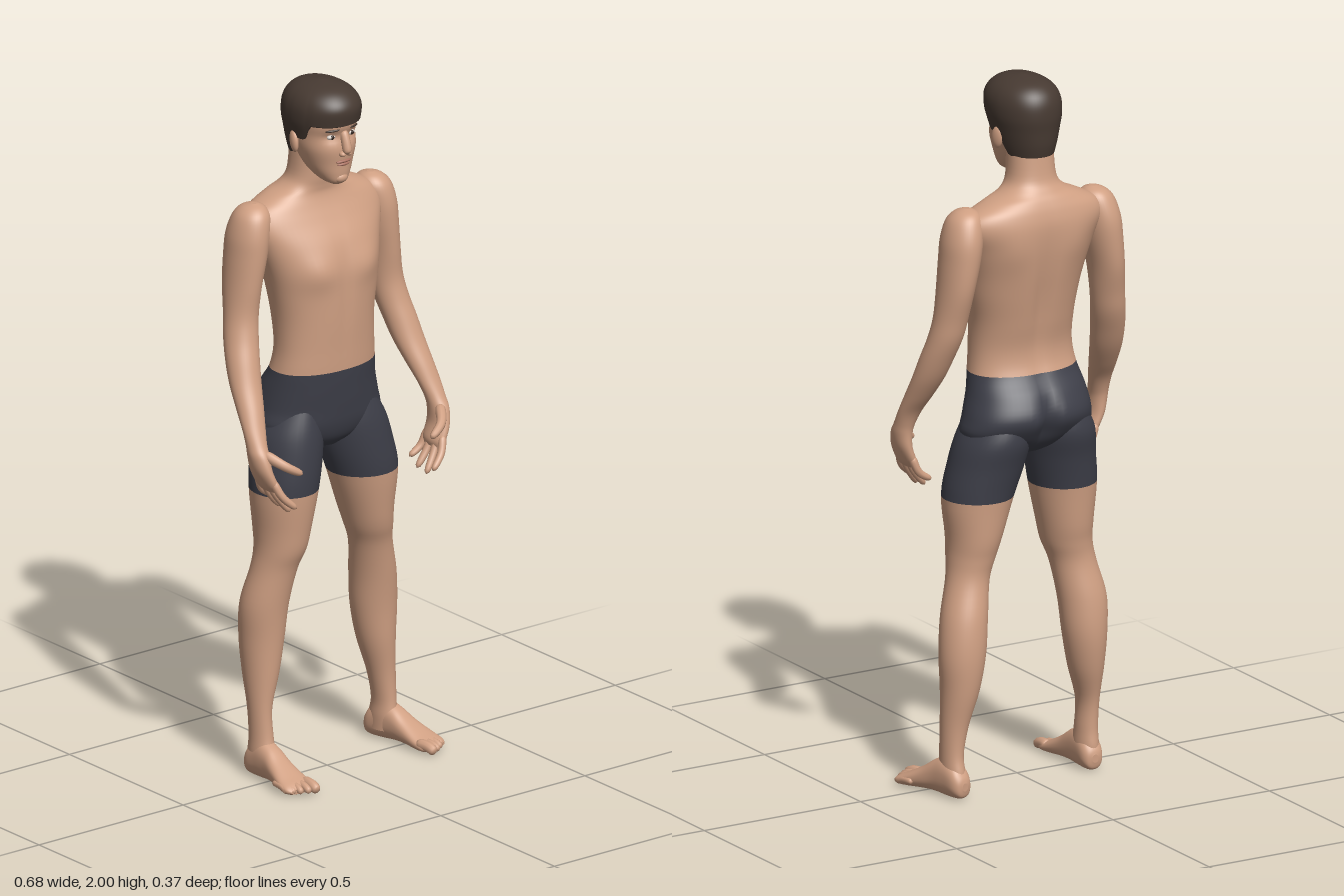
import * as THREE from 'three';
import { mergeVertices } from 'three/addons/utils/BufferGeometryUtils.js';

const mat = (name, color) => Object.assign(new THREE.MeshStandardMaterial({ color }), { name });

// Catmull-Rom value of one column of a profile at row position t
function at(rows, t, k) {
  const n = rows.length - 1, i = Math.min(Math.floor(t), n - 1), f = t - i;
  const p = j => rows[Math.max(0, Math.min(n, j))][k];
  const a = p(i - 1), b = p(i), c = p(i + 1), d = p(i + 2);
  return b + 0.5 * f * (c - a + f * (2 * a - 5 * b + 4 * c - d + f * (3 * (b - c) + d - a)));
}

// Skin over horizontal sections; each row is [y, xMin, xMax, zBack, zFront], bottom to top
function loft(rows, { from = 0, to = rows.length - 1, power = 2, seg = 40, start, warp } = {}) {
  const pos = [], idx = [], n = Math.ceil(to - from) * 5, v = new THREE.Vector3();
  for (let i = 0; i <= n; i++) {
    for (let j = 0; j < seg; j++) {
      const a = j / seg * Math.PI * 2, c = Math.cos(a), s = Math.sin(a);
      const t0 = start ? start(s) : from, t = t0 + (to - t0) * i / n;
      const [y, x0, x1, z0, z1] = [0, 1, 2, 3, 4].map(k => at(rows, t, k));
      v.set((x0 + x1) / 2 + (x1 - x0) / 2 * Math.sign(c) * Math.abs(c) ** (2 / power), y,
        (z0 + z1) / 2 + (z1 - z0) / 2 * Math.sign(s) * Math.abs(s) ** (2 / power));
      if (warp) warp(v);
      pos.push(v.x, v.y, v.z);
      if (i < n) {
        const p = i * seg + j, q = i * seg + (j + 1) % seg;
        idx.push(p, p + seg, q, q, p + seg, q + seg);
      }
    }
  }
  // end caps on their own copies of the end rings
  for (const row of [0, n]) {
    const base = pos.length / 3, mid = new THREE.Vector3();
    for (let j = 0; j < seg; j++) {
      v.fromArray(pos, (row * seg + j) * 3);
      mid.addScaledVector(v, 1 / seg);
      pos.push(v.x, v.y, v.z);
    }
    pos.push(mid.x, mid.y, mid.z);
    for (let j = 0; j < seg; j++) {
      const p = base + j, q = base + (j + 1) % seg;
      idx.push(base + seg, ...(row ? [q, p] : [p, q]));
    }
  }
  const g = new THREE.BufferGeometry();
  g.setAttribute('position', new THREE.Float32BufferAttribute(pos, 3));
  g.setIndex(idx);
  g.computeVertexNormals();
  return g;
}

// Round-ended tube for fingers, toes and the nose
function digit(points, r, taper = 0.75) {
  const curve = new THREE.CatmullRomCurve3(points.map(p => new THREE.Vector3(...p)));
  const n = 16, g = new THREE.TubeGeometry(curve, n, r, 10), p = g.attributes.position, v = new THREE.Vector3();
  for (let i = 0; i < p.count; i++) {
    const t = Math.floor(i / 11) / n, c = curve.getPointAt(t);
    const round = Math.sqrt(Math.max(0, 1 - Math.abs(2 * t - 1) ** 6));
    v.fromBufferAttribute(p, i).sub(c).multiplyScalar(round * (1 + (taper - 1) * t)).add(c);
    p.setXYZ(i, v.x, v.y, v.z);
  }
  g.deleteAttribute('uv');
  g.deleteAttribute('normal');
  const m = mergeVertices(g, 1e-5);
  m.computeVertexNormals();
  return m;
}

const bump = (d, w) => Math.exp(-((d / w) ** 2));
const mirrorRows = rows => rows.map(([y, a, b, c, d]) => [y, -b, -a, c, d]);

const TORSO = [
  [0.94, -0.04, 0.04, -0.08, 0.02], [0.97, -0.14, 0.15, -0.13, 0.045], [1.01, -0.185, 0.2, -0.165, 0.06],
  [1.06, -0.18, 0.193, -0.188, 0.068], [1.12, -0.17, 0.173, -0.165, 0.075], [1.175, -0.159, 0.16, -0.127, 0.08],
  [1.24, -0.15, 0.153, -0.116, 0.083], [1.32, -0.151, 0.154, -0.13, 0.087], [1.4, -0.162, 0.168, -0.145, 0.088],
  [1.47, -0.178, 0.18, -0.157, 0.083], [1.54, -0.2, 0.2, -0.165, 0.064], [1.6, -0.222, 0.222, -0.167, 0.032],
  [1.64, -0.205, 0.205, -0.16, 0.012], [1.67, -0.15, 0.145, -0.148, 0.002], [1.692, -0.102, 0.088, -0.134, 0.003],
  [1.725, -0.08, 0.06, -0.118, 0.008], [1.8, -0.076, 0.054, -0.108, 0.012]];
const ARM = [
  [0.9, 0.272, 0.296, 0.07, 0.14], [0.92, 0.27, 0.312, 0.06, 0.147], [0.96, 0.284, 0.33, 0.057, 0.142],
  [1.0, 0.285, 0.338, 0.056, 0.13], [1.03, 0.281, 0.338, 0.05, 0.112], [1.07, 0.27, 0.337, 0.032, 0.092],
  [1.12, 0.255, 0.333, -0.005, 0.07], [1.18, 0.238, 0.328, -0.045, 0.042], [1.24, 0.225, 0.32, -0.075, 0.02],
  [1.3, 0.212, 0.308, -0.1, 0], [1.36, 0.203, 0.297, -0.115, -0.01], [1.44, 0.192, 0.288, -0.135, -0.005],
  [1.52, 0.175, 0.281, -0.142, 0], [1.58, 0.165, 0.275, -0.14, 0], [1.63, 0.16, 0.26, -0.125, -0.01],
  [1.655, 0.172, 0.238, -0.105, -0.03], [1.665, 0.192, 0.212, -0.075, -0.055]];
const RIGHT_LEG = [
  [0.03, -0.22, -0.16, -0.095, -0.005], [0.07, -0.222, -0.158, -0.095, 0], [0.12, -0.22, -0.16, -0.09, -0.01],
  [0.2, -0.222, -0.16, -0.095, -0.015], [0.3, -0.228, -0.13, -0.122, -0.01], [0.4, -0.234, -0.11, -0.136, -0.005],
  [0.5, -0.237, -0.1, -0.13, 0.005], [0.6, -0.215, -0.085, -0.11, 0.022], [0.66, -0.206, -0.065, -0.112, 0.042],
  [0.72, -0.207, -0.052, -0.122, 0.052], [0.83, -0.217, -0.03, -0.134, 0.066], [0.92, -0.207, -0.016, -0.148, 0.068],
  [1.0, -0.193, -0.01, -0.165, 0.062], [1.08, -0.15, -0.03, -0.15, 0.045]];
const LEFT_LEG = [
  [0.03, 0.225, 0.287, -0.13, -0.035], [0.07, 0.225, 0.287, -0.128, -0.03], [0.12, 0.226, 0.287, -0.118, -0.035],
  [0.2, 0.21, 0.287, -0.122, -0.035], [0.3, 0.18, 0.287, -0.14, -0.025], [0.4, 0.16, 0.291, -0.147, -0.018],
  [0.5, 0.148, 0.279, -0.138, -0.005], [0.6, 0.13, 0.25, -0.114, 0.012], [0.66, 0.108, 0.241, -0.116, 0.032],
  [0.72, 0.087, 0.24, -0.126, 0.045], [0.83, 0.048, 0.249, -0.135, 0.062], [0.92, 0.02, 0.232, -0.15, 0.064],
  [1.0, 0.01, 0.207, -0.166, 0.06], [1.08, 0.03, 0.155, -0.15, 0.045]];
// foot sections run heel to toe: [length, outer, inner, -top, -sole]
const FOOT = [
  [-0.046, -0.01, 0.01, -0.048, -0.025], [-0.04, -0.024, 0.024, -0.065, -0.006], [-0.02, -0.033, 0.033, -0.09, -0.001],
  [0.02, -0.034, 0.034, -0.11, -0.001], [0.06, -0.035, 0.035, -0.098, -0.004], [0.1, -0.041, 0.038, -0.072, -0.004],
  [0.15, -0.05, 0.044, -0.045, -0.001], [0.18, -0.05, 0.045, -0.032, -0.001], [0.195, -0.04, 0.04, -0.022, -0.006]];
const FACE = [
  [1.716, -0.015, 0.015, 0.04, 0.07], [1.727, -0.034, 0.034, 0.0, 0.083], [1.75, -0.052, 0.052, -0.04, 0.087],
  [1.78, -0.066, 0.066, -0.07, 0.089], [1.82, -0.078, 0.078, -0.09, 0.094], [1.86, -0.083, 0.083, -0.11, 0.09],
  [1.9, -0.087, 0.087, -0.115, 0.098], [1.95, -0.08, 0.08, -0.11, 0.085], [1.98, -0.05, 0.05, -0.08, 0.05]];
const HAIR = [
  [1.785, -0.07, 0.07, -0.118, 0.07], [1.82, -0.081, 0.081, -0.126, 0.094], [1.86, -0.09, 0.09, -0.13, 0.098],
  [1.9, -0.098, 0.098, -0.134, 0.108], [1.94, -0.096, 0.096, -0.13, 0.113], [1.97, -0.08, 0.08, -0.113, 0.095],
  [1.99, -0.05, 0.05, -0.08, 0.06], [2.0, -0.008, 0.008, -0.02, 0.0]];

// chest, breastbone, spine and seat shaping
function shapeTorso(v) {
  const { x, y, z } = v;
  if (z > -0.03) v.z += 0.012 * bump(Math.abs(x) - 0.085, 0.055) * bump(y - 1.47, 0.05)
    - 0.005 * bump(x, 0.015) * bump(y - 1.4, 0.14);
  else v.z += 0.014 * bump(x, 0.025) * bump(y - 1.38, 0.17) + 0.03 * bump(x - 0.004, 0.02) * bump(y - 1.04, 0.07)
    - 0.006 * bump(Math.abs(x) - 0.1, 0.05) * bump(y - 1.54, 0.06);
}

export function createModel() {
  const skin = mat('skin', 0xd0a083), hairMat = mat('hair', 0x473a32), cloth = mat('shorts', 0x3e3f49);
  const white = mat('eyeWhite', 0xd8d0c8), iris = mat('iris', 0x33261f), lip = mat('lips', 0xa87060);
  const model = new THREE.Group();
  const add = (name, geo, material, parent = model) => {
    const m = new THREE.Mesh(geo, material);
    m.name = name;
    parent.add(m);
    return m;
  };

  // trunk
  add('torso', loft(TORSO, { from: 5, seg: 64, power: 2.2, warp: shapeTorso }), skin);
  add('shortsSeat', loft(TORSO, { to: 5, seg: 64, power: 2.2, warp: shapeTorso }), cloth);

  for (const s of [-1, 1]) {
    const side = s < 0 ? 'right' : 'left';
    // arm with palm, fingers and thumb
    add(side + 'Arm', loft(s < 0 ? mirrorRows(ARM) : ARM), skin);
    const hand = new THREE.Group();
    hand.name = side + 'Fingers';
    model.add(hand);
    [[0.069, 0.063, 0.062, 0.862], [0.091, 0.092, 0.095, 0.838], [0.113, 0.122, 0.136, 0.832],
      [0.134, 0.152, 0.166, 0.85]].forEach(([z0, z1, z2, y]) =>
      add('finger', digit([[s * 0.295, 0.935, z0], [s * 0.275, 0.888, z1], [s * 0.236, y, z2]], 0.0125), skin, hand));
    add('thumb', digit([[s * 0.308, 1.01, 0.105], [s * 0.27, 0.978, 0.158], [s * 0.222, 0.95, 0.176]], 0.0165, 0.65), skin, hand);

    // leg: bare below the hem, cloth above
    const leg = s < 0 ? RIGHT_LEG : LEFT_LEG;
    add(side + 'Leg', loft(leg, { to: 10 }), skin);
    add(side + 'ShortsLeg', loft(leg, { from: 10 }), cloth);

    // foot with toes, big toe on the inner side
    const foot = new THREE.Group();
    foot.name = side + 'Foot';
    foot.position.set(s < 0 ? -0.19 : 0.258, 0, s < 0 ? -0.055 : -0.092);
    foot.rotation.y = s < 0 ? -0.02 : 0.2;
    model.add(foot);
    add('footBody', loft(s < 0 ? FOOT : mirrorRows(FOOT), { power: 2.3 }).rotateX(Math.PI / 2), skin, foot);
    [[0.03, 0.222, 0.016], [0.008, 0.217, 0.0115], [-0.012, 0.208, 0.011], [-0.029, 0.197, 0.0105],
      [-0.043, 0.183, 0.01]].forEach(([x, z, r]) =>
      add('toe', digit([[-s * x, 0.024, z - 0.065], [-s * x, 0.022, z - 0.025], [-s * x, 0.011, z]], r, 0.9), skin, foot));
  }

  // head
  const head = new THREE.Group();
  head.name = 'head';
  head.position.x = -0.012;
  model.add(head);
  add('face', loft(FACE, {
    power: 2.2,
    warp: v => { // eye sockets
      if (v.z > 0) v.z -= 0.008 * bump(Math.abs(v.x) - 0.034, 0.02) * bump(v.y - 1.86, 0.014);
    }
  }), skin, head);
  // hairline: high at the forehead, sideburns by the ears, low at the nape
  const step = THREE.MathUtils.smoothstep;
  add('hair', loft(HAIR, { seg: 72, power: 2.1, start: s => 0.15 + 1.55 * step(s, -0.3, -0.05) + 1.2 * step(s, 0.3, 0.5) }), hairMat, head);
  add('nose', digit([[0, 1.878, 0.085], [0, 1.845, 0.098], [0, 1.812, 0.107]], 0.012, 1.15), skin, head);

  const ball = (name, material, x, y, z, a, b, c) => {
    const m = add(name, new THREE.SphereGeometry(1, 20, 14), material, head);
    m.position.set(x, y, z);
    m.scale.set(a, b, c);
    return m;
  };
  for (const s of [-1, 1]) {
    ball('nostril', skin, s * 0.011, 1.812, 0.096, 0.009, 0.008, 0.011);
    ball('eye', white, s * 0.034, 1.861, 0.076, 0.014, 0.007, 0.008);
    ball('iris', iris, s * 0.034, 1.861, 0.081, 0.006, 0.0065, 0.0045);
    ball('eyebrow', hairMat, s * 0.036, 1.882, 0.085, 0.021, 0.004, 0.006).rotation.set(0, s * 0.4, -s * 0.08);
    ball('ear', skin, s * 0.087, 1.835, -0.02, 0.011, 0.032, 0.019).rotation.set(-0.15, s * 0.3, 0);
  }
  ball('upperLip', lip, 0, 1.788, 0.088, 0.026, 0.005, 0.007);
  ball('lowerLip', lip, 0, 1.779, 0.087, 0.021, 0.005, 0.007);
  ball('chin', skin, 0, 1.737, 0.074, 0.022, 0.016, 0.016);
  return model;
}
